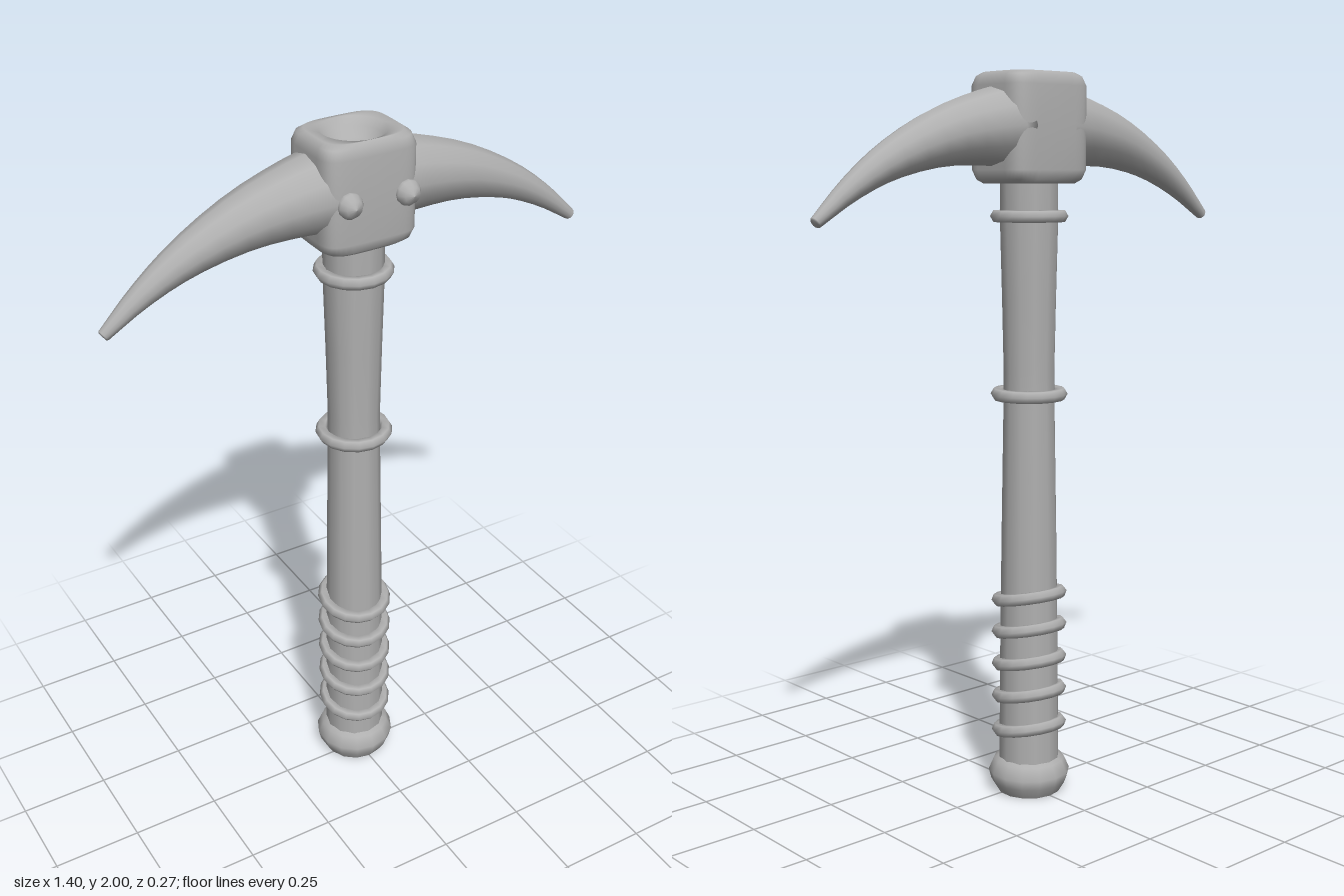
import * as THREE from 'three';

const grey = new THREE.MeshStandardMaterial({ color: 0xb0b0b0 });

// Skin a list of closed rings (arrays of Vector3), each with the same count
function loft(rings) {
  const n = rings[0].length;
  const index = [];
  for (let i = 0; i < rings.length - 1; i++) {
    for (let j = 0; j < n; j++) {
      const k = (j + 1) % n;
      const a = i * n + j, b = i * n + k, c = a + n, d = b + n;
      index.push(a, b, d, a, d, c);
    }
  }
  const geo = new THREE.BufferGeometry().setFromPoints(rings.flat());
  geo.setIndex(index);
  geo.computeVertexNormals();
  return geo;
}

// Horizontal ring: e = 1 is an ellipse, smaller e is a rounded square
function squareRing(y, a, b, e, n = 40) {
  const pow = (v) => Math.sign(v) * Math.abs(v) ** e;
  return Array.from({ length: n }, (_, j) => {
    const t = (j / n) * Math.PI * 2;
    return new THREE.Vector3(a * pow(Math.cos(t)), y, -b * pow(Math.sin(t)));
  });
}

// Curved, tapering spike pointing to +x
function spikeGeometry() {
  const path = new THREE.CatmullRomCurve3([
    [0.07, 1.86], [0.16, 1.853], [0.31, 1.825], [0.47, 1.765], [0.59, 1.695], [0.69, 1.618],
  ].map(([x, y]) => new THREE.Vector3(x, y, 0)));
  const sides = 12, steps = 14, rings = [];
  const ring = (c, t, r) => Array.from({ length: sides }, (_, j) => {
    const a = (j / sides) * Math.PI * 2;
    return new THREE.Vector3(
      c.x - t.y * r * Math.cos(a), c.y + t.x * r * Math.cos(a), r * Math.sin(a));
  });
  for (let i = 0; i <= steps; i++) {
    const c = path.getPoint(i / steps), t = path.getTangent(i / steps);
    const r = THREE.MathUtils.mapLinear(c.x, 0.07, 0.69, 0.112, 0.016);
    if (i === 0) rings.push(ring(c, t, 0));
    rings.push(ring(c, t, r));
    if (i === steps) rings.push(ring(c.clone().addScaledVector(t, 0.004), t, r * 0.8),
      ring(c.clone().addScaledVector(t, 0.004), t, 0));
  }
  return loft(rings);
}

function lathe(profile, sides) {
  return new THREE.LatheGeometry(profile.map(([r, y]) => new THREE.Vector2(r, y)), sides);
}

export function createModel() {
  const model = new THREE.Group();
  model.name = 'pickaxe';
  const tool = new THREE.Group();
  tool.name = 'tool';
  tool.position.z = -0.02;
  model.add(tool);

  const add = (name, geometry, x = 0, y = 0, z = 0) => {
    const mesh = new THREE.Mesh(geometry, grey);
    mesh.name = name;
    mesh.position.set(x, y, z);
    tool.add(mesh);
    return mesh;
  };

  // Shaft, slightly waisted, and the knob at its foot
  add('handle', lathe([[0.086, 0.08], [0.083, 0.4], [0.078, 0.75], [0.072, 1.1],
    [0.071, 1.2], [0.075, 1.4], [0.08, 1.6], [0.08, 1.75]], 12));
  add('pommel', lathe([[0, 0], [0.09, 0], [0.09, 0], [0.108, 0.03], [0.115, 0.058],
    [0.1, 0.092], [0.08, 0.1]], 14));

  // Level bands on the shaft, then tilted cords wrapped round the grip
  const ringGeo = (R) => new THREE.TorusGeometry(R, 0.018, 6, 16).rotateX(Math.PI / 2);
  for (const y of [1.14, 1.623]) add('handleBand', ringGeo(0.088), 0, y);
  for (const y of [0.568, 0.476, 0.382, 0.288, 0.188]) {
    add('gripCord', ringGeo(0.089), 0, y).rotation.x = 0.2;
  }

  // Head block with a shallow round hollow in its top
  add('headBlock', loft([
    squareRing(1.712, 0.07, 0.07, 1),
    squareRing(1.71, 0.112, 0.09, 0.45),
    squareRing(1.72, 0.126, 0.102, 0.4),
    squareRing(1.745, 0.135, 0.11, 0.38),
    squareRing(1.855, 0.135, 0.11, 0.38),
    squareRing(1.965, 0.135, 0.11, 0.38),
    squareRing(1.99, 0.126, 0.102, 0.4),
    squareRing(2.0, 0.112, 0.092, 0.5),
    squareRing(1.998, 0.086, 0.086, 1),
    squareRing(1.975, 0.078, 0.078, 1),
    squareRing(1.955, 0.05, 0.05, 1),
    squareRing(1.948, 0, 0, 1),
  ]));

  // Spikes and front rivets, one pair per side
  const spike = spikeGeometry();
  const rivet = lathe([[0, 0], [0.033, 0], [0.033, 0], [0.033, 0.01], [0.022, 0.026],
    [0, 0.035]], 12).rotateX(Math.PI / 2);
  for (const s of [1, -1]) {
    const side = s > 0 ? 'left' : 'right';
    add(side + 'Spike', spike).rotation.y = s > 0 ? 0 : Math.PI;
    add(side + 'Rivet', rivet, s * 0.082, 1.858, 0.12);
  }
  return model;
}
